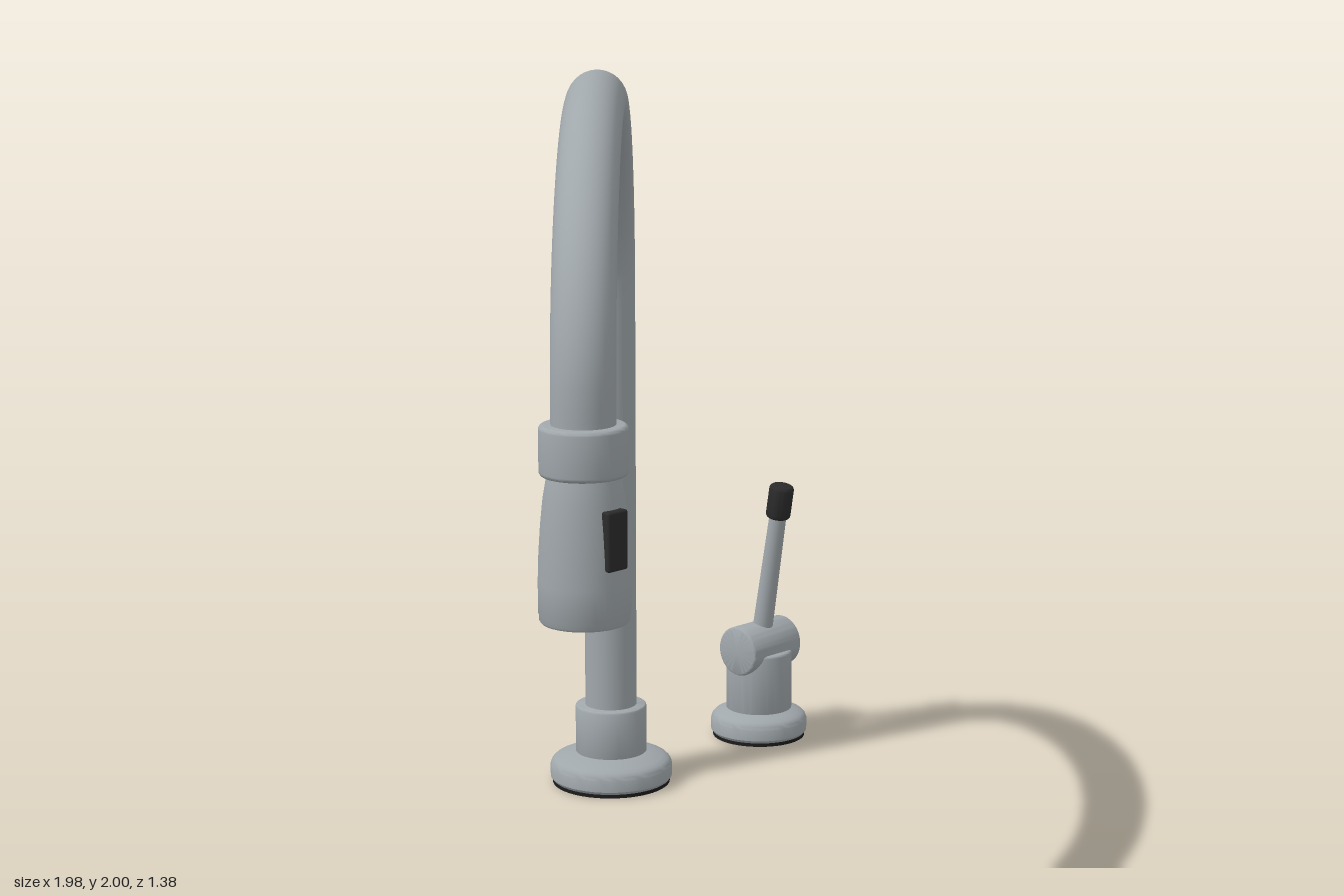
import * as THREE from 'three';
import { toCreasedNormals } from 'three/addons/utils/BufferGeometryUtils.js';
import { RoundedBoxGeometry } from 'three/addons/geometries/RoundedBoxGeometry.js';

const material = (name, color) => {
  const m = new THREE.MeshStandardMaterial({ color });
  m.name = name;
  return m;
};

export function createModel() {
  const steel = material('brushed steel', 0xa0a7ab);
  const rubber = material('black rubber', 0x1c1c1c);
  const plastic = material('dark plastic', 0x2b2b2b);

  const model = new THREE.Group();
  model.name = 'faucet';

  const group = (name, x, y, z) => {
    const g = new THREE.Group();
    g.name = name;
    g.position.set(x, y, z);
    model.add(g);
    return g;
  };
  const add = (parent, name, geometry, mat, x = 0, y = 0, z = 0) => {
    const mesh = new THREE.Mesh(geometry, mat);
    mesh.name = name;
    mesh.position.set(x, y, z);
    parent.add(mesh);
    return mesh;
  };
  // Turned part: profile of [radius, height] running from the bottom upwards
  const turned = (profile, segments = 48) => toCreasedNormals(
    new THREE.LatheGeometry(profile.map(([r, y]) => new THREE.Vector2(r, y)), segments), 0.6);
  // Closed cylinder with softened rims
  const softCylinder = (r, y0, y1, b) => {
    const profile = [[0, y0]];
    for (let i = 0; i <= 4; i++) {
      const a = i / 4 * Math.PI / 2;
      profile.push([r - b + b * Math.sin(a), y0 + b - b * Math.cos(a)]);
    }
    for (let i = 0; i <= 4; i++) {
      const a = i / 4 * Math.PI / 2;
      profile.push([r - b + b * Math.cos(a), y1 - b + b * Math.sin(a)]);
    }
    profile.push([0, y1]);
    return turned(profile);
  };
  // Escutcheon: rounded flange with a gently sloped top, on a rubber gasket
  const addFlange = (parent, r) => {
    add(parent, 'gasket', new THREE.CylinderGeometry(r - 0.006, r - 0.006, 0.012, 48), rubber, 0, 0.006, 0);
    add(parent, 'flange', turned([
      [0, 0.01], [r - 0.006, 0.01], [r, 0.018], [r, 0.05], [r - 0.004, 0.06],
      [r - 0.012, 0.068], [r - 0.025, 0.074], [r * 0.6, 0.088], [0, 0.09]
    ]), steel);
  };

  // Spout base
  const spoutBase = group('spoutBase', 0.255, 0, -0.525);
  addFlange(spoutBase, 0.167);
  add(spoutBase, 'collar', softCylinder(0.097, 0.07, 0.22, 0.006), steel);

  // Spout: upright, half-elliptical arch, short drop into the spray head
  const foot = new THREE.Vector3(0.255, 0, -0.525);
  const end = new THREE.Vector3(-0.895, 0, 0.585);
  const spring = 1.37, rise = 0.56;
  const points = [];
  for (let i = 0; i < 10; i++) points.push(foot.clone().setY(0.15 + (spring - 0.15) * i / 10));
  for (let i = 0; i <= 32; i++) {
    const a = Math.PI * i / 32;
    points.push(foot.clone().lerp(end, (1 - Math.cos(a)) / 2).setY(spring + rise * Math.sin(a)));
  }
  points.push(end.clone().setY(1.32), end.clone().setY(1.27));
  add(model, 'spout', new THREE.TubeGeometry(new THREE.CatmullRomCurve3(points), 160, 0.07, 32), steel);

  // Pull-down spray head, hollow underneath
  const head = group('sprayHead', end.x, 0, end.z);
  add(head, 'headCollar', softCylinder(0.096, 1.21, 1.32, 0.01), steel);
  add(head, 'headBody', turned([
    [0.078, 0.912], [0.078, 0.89], [0.094, 0.89], [0.098, 0.896], [0.098, 0.908], [0.1, 0.912],
    [0.1, 0.98], [0.098, 1.04], [0.094, 1.1], [0.088, 1.16], [0.081, 1.2], [0.076, 1.22]
  ]), steel);
  add(head, 'sprayFace', new THREE.CylinderGeometry(0.079, 0.079, 0.01, 40), rubber, 0, 0.911, 0);
  add(head, 'nozzle', new THREE.CylinderGeometry(0.025, 0.025, 0.016, 24), steel, 0, 0.904, 0);
  add(head, 'sprayButton', new RoundedBoxGeometry(0.058, 0.13, 0.035, 3, 0.006), plastic, 0, 1.083, 0.088);

  // Separate lever valve
  const lever = group('leverValve', 0.85, 0, -0.525);
  addFlange(lever, 0.138);
  add(lever, 'valveBody', softCylinder(0.094, 0.07, 0.255, 0.008), steel);
  const barrel = add(lever, 'valveBarrel', softCylinder(0.071, -0.098, 0.098, 0.008), steel, 0, 0.265, 0.004);
  barrel.rotation.z = Math.PI / 2;

  // Handle leaning forward, with a dark grip
  const handle = new THREE.Group();
  handle.name = 'handle';
  handle.position.set(0, 0.265, 0.004);
  handle.rotation.x = 0.165;
  lever.add(handle);
  add(handle, 'handleRod', new THREE.CylinderGeometry(0.024, 0.029, 0.4, 24), steel, 0, 0.22, 0);
  add(handle, 'handleGrip', softCylinder(0.035, 0.393, 0.492, 0.012), plastic);

  return model;
}
